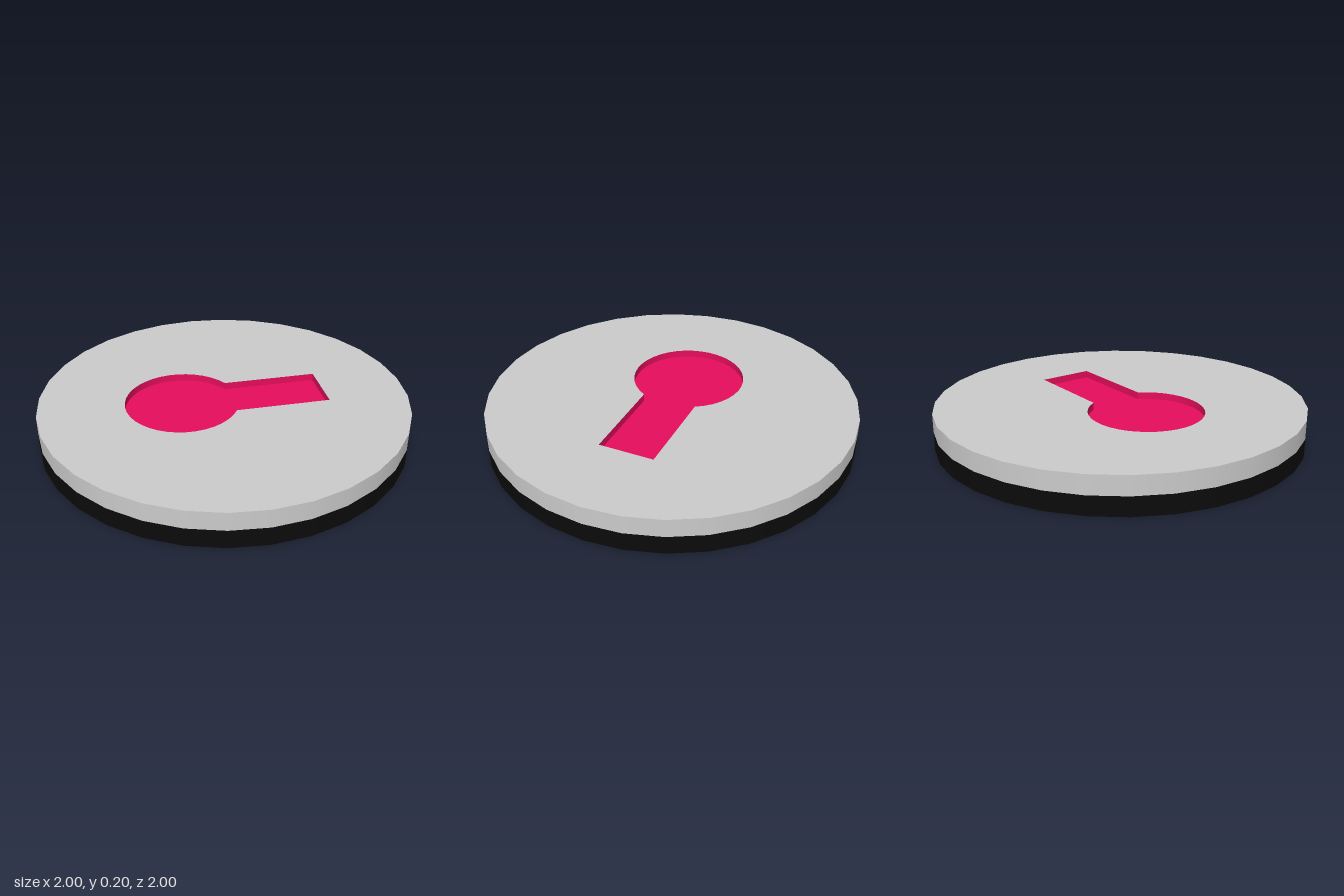
import * as THREE from 'three';
import { toCreasedNormals } from 'three/addons/utils/BufferGeometryUtils.js';

const SIDES = 32, TOP = 0.2, MID = 0.1, FLOOR = 0.16;

export function createModel() {
  const group = new THREE.Group();
  const grey = new THREE.MeshStandardMaterial({ color: 0xcccccc });
  const black = new THREE.MeshStandardMaterial({ color: 0x0b0b0b });
  const red = new THREE.MeshStandardMaterial({ color: 0xe60e5c });

  const add = (name, geometry, material, y = 0) => {
    const mesh = new THREE.Mesh(geometry, material);
    mesh.name = name;
    mesh.position.y = y;
    group.add(mesh);
  };
  const layFlat = (geometry) => geometry.rotateX(-Math.PI / 2);

  // Keyhole outline: a round pocket joined to a straight slot
  const cx = -0.23, r = 0.307, half = 0.15, slotEnd = 0.55;
  const a0 = Math.asin(half / r);
  const outline = [new THREE.Vector2(slotEnd, -half), new THREE.Vector2(slotEnd, half)];
  const steps = 32;
  for (let i = 0; i <= steps; i++) {
    const a = a0 + (i / steps) * (2 * Math.PI - 2 * a0);
    outline.push(new THREE.Vector2(cx + r * Math.cos(a), r * Math.sin(a)));
  }

  // Lower black disc
  add('lowerDisc', new THREE.CylinderGeometry(1, 1, MID, SIDES), black, MID / 2);

  // Upper grey disc: rim and pierced top face
  add('upperRim', new THREE.CylinderGeometry(1, 1, TOP - MID, SIDES, 1, true), grey, (TOP + MID) / 2);
  const rim = [];
  for (let i = 0; i < SIDES; i++) {
    const a = (i / SIDES) * 2 * Math.PI;
    rim.push(new THREE.Vector2(Math.cos(a), Math.sin(a)));
  }
  const face = new THREE.Shape(rim);
  face.holes.push(new THREE.Path(outline));
  add('topFace', layFlat(new THREE.ShapeGeometry(face)), grey, TOP);

  // Recess floor
  add('recessFloor', layFlat(new THREE.ShapeGeometry(new THREE.Shape(outline))), red, FLOOR);

  // Recess walls, facing inward
  const walls = [];
  outline.forEach((a, i) => {
    const b = outline[(i + 1) % outline.length];
    const b0 = [b.x, b.y, FLOOR], c0 = [a.x, a.y, FLOOR];
    const b1 = [b.x, b.y, TOP], c1 = [a.x, a.y, TOP];
    walls.push(...b0, ...c0, ...c1, ...b0, ...c1, ...b1);
  });
  const wallGeometry = new THREE.BufferGeometry();
  wallGeometry.setAttribute('position', new THREE.Float32BufferAttribute(walls, 3));
  wallGeometry.computeVertexNormals();
  add('recessWalls', toCreasedNormals(layFlat(wallGeometry), 0.5), red);

  return group;
}
